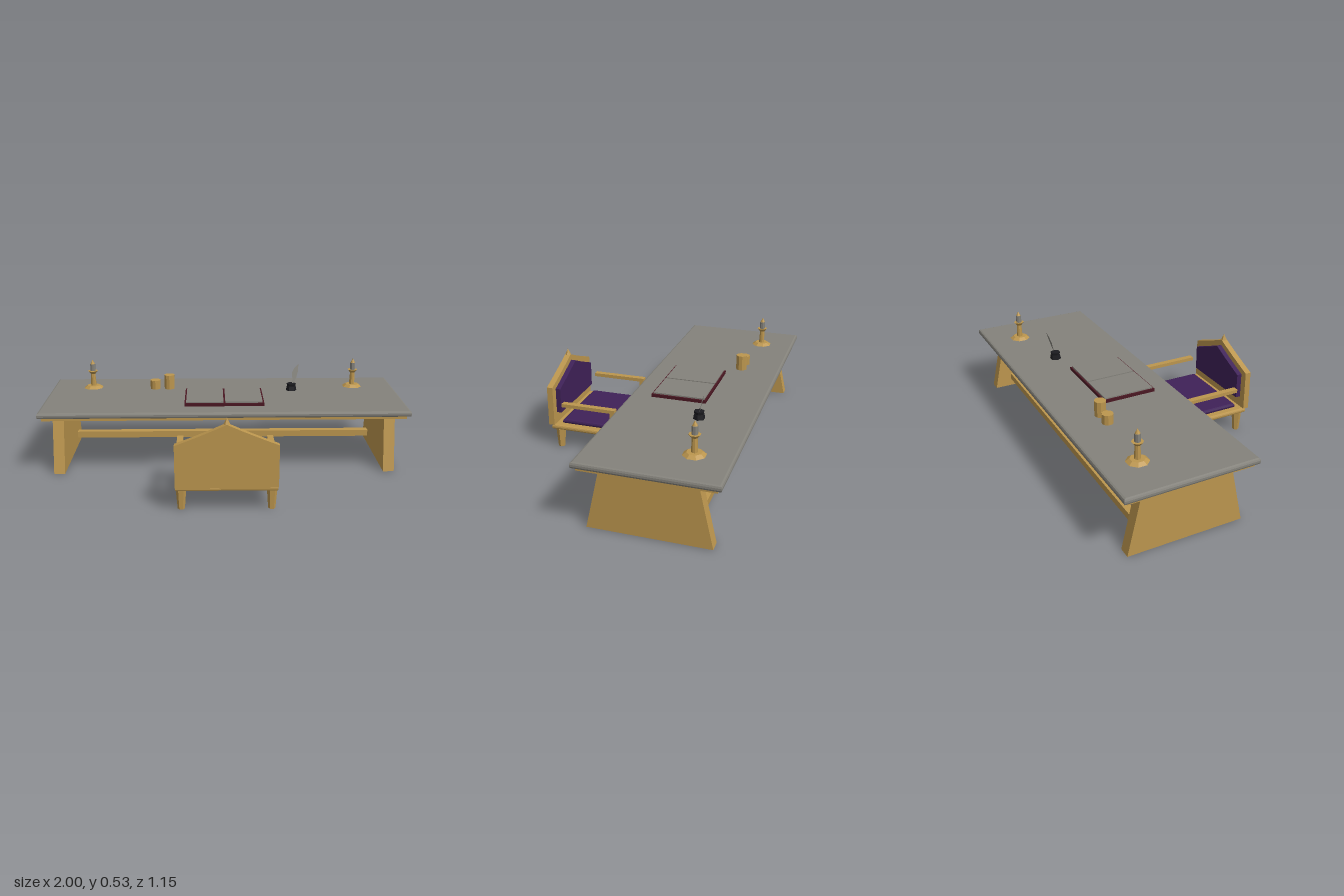
import * as THREE from 'three';

const mat = (name, color) => {
  const m = new THREE.MeshStandardMaterial({ color, flatShading: true });
  m.name = name;
  return m;
};

export function createModel() {
  const gold = mat('golden wood', 0xbc964e);
  const stone = mat('grey stone', 0x84827b);
  const purple = mat('purple cloth', 0x3f2158);
  const red = mat('dark red leather', 0x4a1722);
  const black = mat('black glass', 0x1c1c20);
  const feather = mat('grey feather', 0x84827b);
  feather.side = THREE.DoubleSide;

  const root = new THREE.Group();
  const group = (name, parent = root) => {
    const g = new THREE.Group();
    g.name = name;
    parent.add(g);
    return g;
  };
  const add = (parent, name, geo, material, x = 0, y = 0, z = 0) => {
    const m = new THREE.Mesh(geo, material);
    m.name = name;
    m.position.set(x, y, z);
    parent.add(m);
    return m;
  };
  // Box given by its limits
  const box = (parent, name, material, x0, x1, y0, y1, z0, z1) =>
    add(parent, name, new THREE.BoxGeometry(x1 - x0, y1 - y0, z1 - z0), material,
      (x0 + x1) / 2, (y0 + y1) / 2, (z0 + z1) / 2);
  // Upright prism or taper standing on y0
  const prism = (parent, name, material, rTop, rBottom, y0, y1, sides, x, z, turn = 0) => {
    const g = new THREE.CylinderGeometry(rTop, rBottom, y1 - y0, sides).rotateY(turn);
    return add(parent, name, g, material, x, (y0 + y1) / 2, z);
  };
  const polygon = (pts) => new THREE.Shape(pts.map(([x, y]) => new THREE.Vector2(x, y)));
  // Horizontal slab with bevelled edges, standing on y = 0
  const slab = (w, d, h, b) => {
    const x = w / 2 - b, z = d / 2 - b;
    return new THREE.ExtrudeGeometry(polygon([[-x, -z], [x, -z], [x, z], [-x, z]]), {
      depth: h - 2 * b, bevelThickness: b, bevelSize: b, bevelSegments: 2,
    }).rotateX(-Math.PI / 2).translate(0, b, 0);
  };

  // Desk
  const desk = group('desk');
  add(desk, 'deskTop', slab(2, 0.682, 0.032, 0.011), stone, 0, 0.328, -0.231);
  box(desk, 'topTrim', gold, -0.98, 0.98, 0.313, 0.329, -0.55, 0.092);
  const panel = polygon([[0.07, 0], [0, 0.313], [-0.457, 0.313], [-0.528, 0]]);
  for (const s of [-1, 1]) {
    // Profile is drawn as (z, y) and turned so its thickness runs along x
    const g = new THREE.ExtrudeGeometry(panel, { depth: 0.06, bevelEnabled: false })
      .rotateY(-Math.PI / 2).translate(0.03, 0, 0);
    add(desk, 'legPanel', g, gold, s * 0.906);
  }
  box(desk, 'stretcher', gold, -0.88, 0.88, 0.042, 0.08, -0.43, -0.39);

  // Chair, facing the desk
  const chair = group('chair');
  add(chair, 'seat', slab(0.504, 0.418, 0.026, 0.009), gold, 0, 0.107, 0.351);
  add(chair, 'seatCushion', slab(0.435, 0.354, 0.025, 0.01), purple, 0, 0.132, 0.333);
  for (const s of [-1, 1]) {
    for (const z of [0.182, 0.52]) {
      prism(chair, 'chairLeg', gold, 0.0265, 0.018, 0, 0.109, 6, s * 0.224, z, Math.PI / 2);
    }
    const x = s * 0.235;
    box(chair, 'armRest', gold, x - 0.016, x + 0.016, 0.245, 0.264, 0.193, 0.497);
    box(chair, 'armPost', gold, x - 0.016, x + 0.016, 0.13, 0.246, 0.193, 0.22);
  }
  // Pointed back outline with gently hollow shoulders
  const backShape = (w, y0, yShoulder, yPeak) => {
    const rise = yPeak - yShoulder;
    const s = new THREE.Shape();
    s.moveTo(-w, y0);
    s.lineTo(w, y0);
    s.lineTo(w, yShoulder);
    s.quadraticCurveTo(w * 0.45, yShoulder + rise * 0.5, 0, yPeak);
    s.quadraticCurveTo(-w * 0.45, yShoulder + rise * 0.5, -w, yShoulder);
    return s;
  };
  const plate = (shape, depth) =>
    new THREE.ExtrudeGeometry(shape, { depth, bevelEnabled: false, curveSegments: 4 });
  add(chair, 'chairBack', plate(backShape(0.252, 0.132, 0.35, 0.455), 0.032), gold, 0, 0, 0.545);
  add(chair, 'backCushion', plate(backShape(0.213, 0.193, 0.331, 0.422), 0.028), purple, 0, 0, 0.518);
  prism(chair, 'finial', gold, 0, 0.016, 0.453, 0.488, 6, 0, 0.561, Math.PI / 2);

  // Open book
  const book = group('openBook');
  box(book, 'cover', red, -0.218, 0.218, 0.359, 0.376, -0.293, -0.004);
  for (const s of [-1, 1]) {
    box(book, 'pages', stone, s * 0.107 - 0.102, s * 0.107 + 0.102, 0.374, 0.383, -0.284, -0.013);
  }

  // Inkwell and quill
  const ink = group('inkwell');
  prism(ink, 'inkPot', black, 0.026, 0.031, 0.359, 0.385, 6, 0.395, -0.308, Math.PI / 2);
  prism(ink, 'inkPotRim', black, 0.027, 0.023, 0.385, 0.4, 6, 0.395, -0.308, Math.PI / 2);
  const vane = new THREE.ShapeGeometry(polygon([
    [0.398, 0.39], [0.403, 0.39], [0.424, 0.43], [0.434, 0.465], [0.437, 0.508],
    [0.412, 0.485], [0.398, 0.455], [0.402, 0.425]]));
  // Lean the feather back, more on its outer side
  const p = vane.attributes.position;
  for (let i = 0; i < p.count; i++) {
    p.setZ(i, -0.31 - (p.getY(i) - 0.39) * 0.23 - (p.getX(i) - 0.398) * 0.05);
  }
  vane.computeVertexNormals();
  add(ink, 'quill', vane, feather);

  // Two cups
  const cups = group('cups');
  prism(cups, 'shortCup', gold, 0.03, 0.03, 0.359, 0.411, 10, -0.397, -0.36);
  prism(cups, 'tallCup', gold, 0.03, 0.03, 0.359, 0.442, 10, -0.315, -0.36);

  // Candlesticks
  for (const s of [-1, 1]) {
    const stick = group('candlestick');
    const part = (name, m, rTop, rBottom, y0, y1) =>
      prism(stick, name, m, rTop, rBottom, y0, y1, 8, s * 0.763, -0.388, Math.PI / 8);
    part('base', gold, 0.037, 0.058, 0.359, 0.374);
    part('stem', gold, 0.013, 0.016, 0.374, 0.445);
    part('dripCup', gold, 0.029, 0.015, 0.444, 0.461);
    part('candle', stone, 0.015, 0.015, 0.46, 0.502);
    part('flame', gold, 0, 0.013, 0.502, 0.527);
  }
  return root;
}
